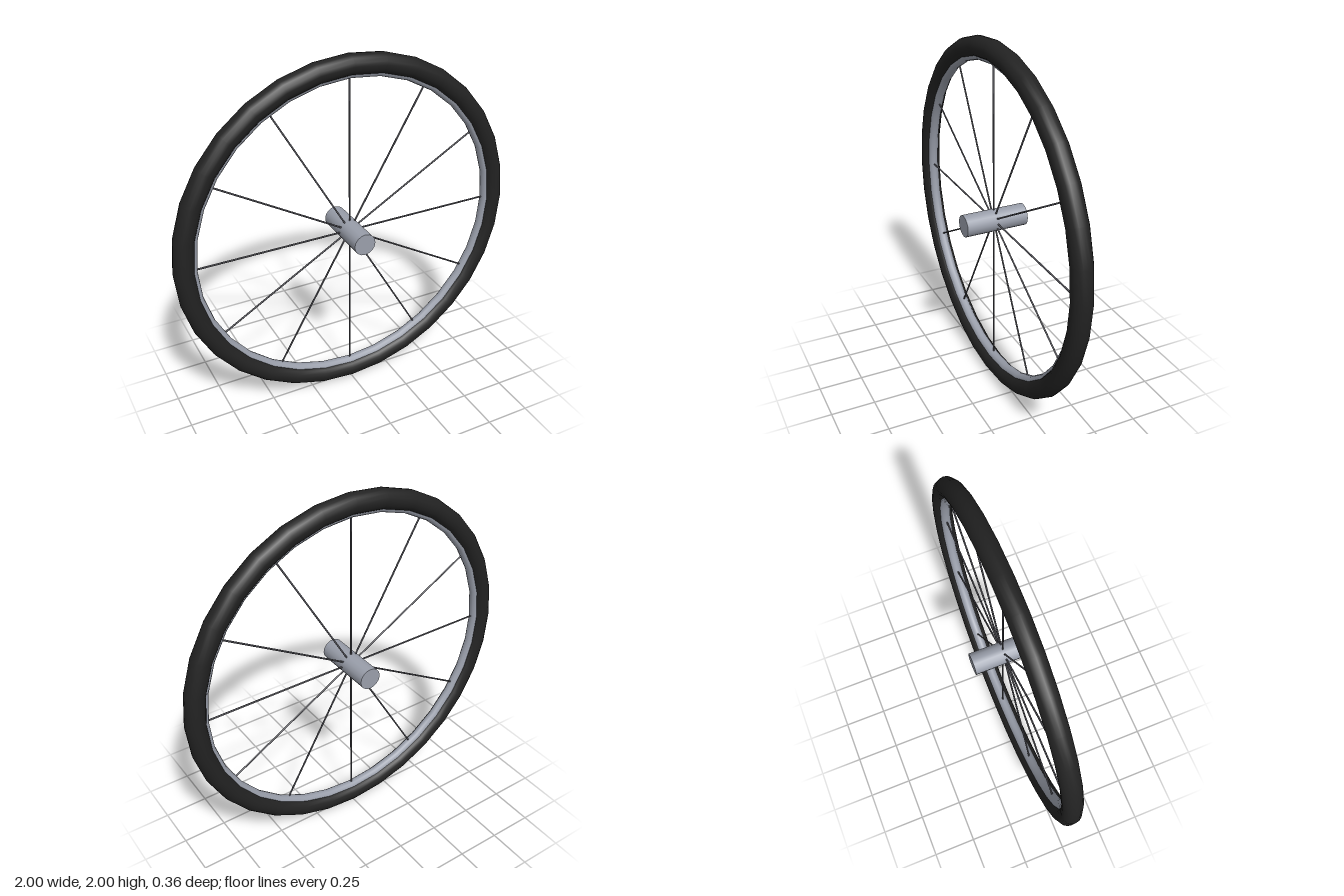
import * as THREE from 'three';

const SEGMENTS = 32;
const SPOKES = 12;

export function createModel() {
  const wheel = new THREE.Group();
  wheel.name = 'spokedWheel';
  const rubber = new THREE.MeshStandardMaterial({ color: 0x222222 });
  const metal = new THREE.MeshStandardMaterial({ color: 0x9a9fab });
  const wire = new THREE.MeshStandardMaterial({ color: 0x55555c });

  const add = (name, geometry, material) => {
    const mesh = new THREE.Mesh(geometry, material);
    mesh.name = name;
    mesh.position.y = 1;
    wheel.add(mesh);
    return mesh;
  };

  // Tyre, with the rim showing along its inner edge
  add('tyre', new THREE.TorusGeometry(0.944, 0.056, 16, SEGMENTS), rubber);
  add('rim', new THREE.TorusGeometry(0.903, 0.03, 12, SEGMENTS), metal);

  // Hub along the axle direction
  add('hub', new THREE.CylinderGeometry(0.062, 0.062, 0.36, 16).rotateX(Math.PI / 2), metal);

  // Flat star of straight spokes from the hub centre into the rim
  const spokeGeometry = new THREE.CylinderGeometry(0.005, 0.005, 0.88, 6).translate(0, 0.44, 0);
  for (let i = 0; i < SPOKES; i++) {
    add('spoke' + (i + 1), spokeGeometry, wire).rotation.z = (i / SPOKES) * Math.PI * 2;
  }
  return wheel;
}
